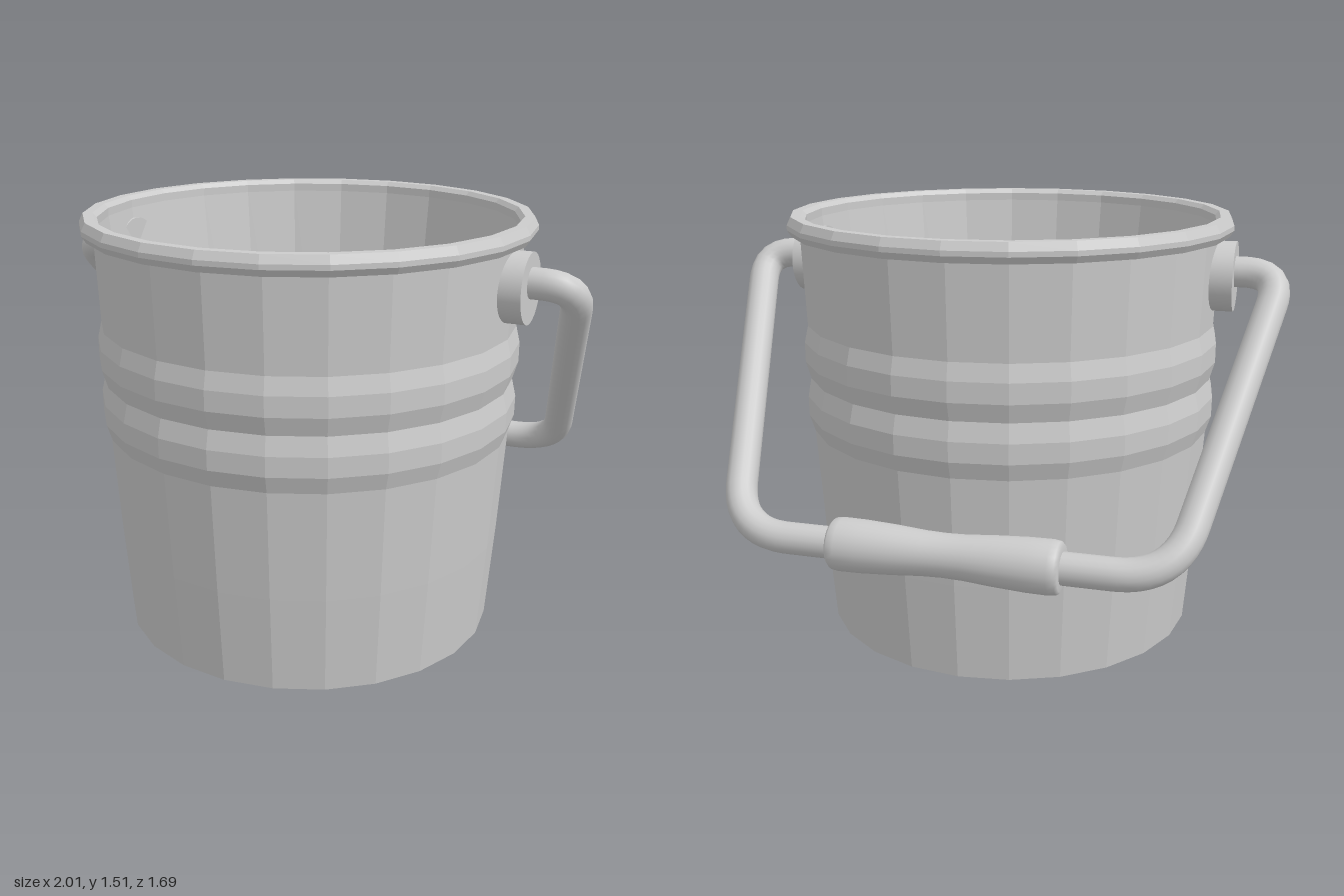
import * as THREE from 'three';

const SIDES = 24;
const CENTRE_Z = 0.045;
const GRIP_Y = 0.5, GRIP_Z = -0.755;
const HINGE_Y = 1.33, HINGE_Z = 0.04;

const smooth = new THREE.MeshStandardMaterial({ color: 0xcccccc });
const faceted = new THREE.MeshStandardMaterial({ color: 0xcccccc, flatShading: true });

const profile = (pairs) => pairs.map(([r, y]) => new THREE.Vector2(r, y));

function addMesh(parent, name, geometry, material) {
  const mesh = new THREE.Mesh(geometry, material);
  mesh.name = name;
  parent.add(mesh);
  return mesh;
}

// Path through the corners, each rounded by its trim length
function roundedPath(corners) {
  const path = new THREE.CurvePath();
  let last = corners[0].p;
  for (let i = 1; i < corners.length - 1; i++) {
    const { p, trim } = corners[i];
    const towards = (q) => p.clone().add(q.clone().sub(p).setLength(trim));
    const a = towards(corners[i - 1].p), b = towards(corners[i + 1].p);
    path.add(new THREE.LineCurve3(last, a));
    path.add(new THREE.QuadraticBezierCurve3(a, p, b));
    last = b;
  }
  path.add(new THREE.LineCurve3(last, corners[corners.length - 1].p));
  return path;
}

export function createModel() {
  const group = new THREE.Group();
  group.name = 'bucket';

  // Hollow body: outside with two raised bands, then the tapered inside and floor
  const body = addMesh(group, 'body', new THREE.LatheGeometry(profile([
    [0, 0], [0.68, 0], [0.708, 0.35], [0.733, 0.74],
    [0.752, 0.8], [0.753, 0.87], [0.738, 0.935],
    [0.757, 1.0], [0.757, 1.07], [0.743, 1.13],
    [0.757, 1.47], [0.74, 1.49], [0.585, 0.06], [0, 0.06],
  ]), SIDES), faceted);
  body.position.z = CENTRE_Z;

  // Rolled rim
  const rim = addMesh(group, 'rim', new THREE.LatheGeometry(profile([
    [0.738, 1.47], [0.75, 1.447], [0.785, 1.447], [0.8, 1.47],
    [0.8, 1.487], [0.786, 1.515], [0.752, 1.515], [0.738, 1.5], [0.738, 1.47],
  ]), SIDES), faceted);
  rim.position.z = CENTRE_Z;

  // Round handle mounts
  for (const side of [1, -1]) {
    const mount = addMesh(group, side > 0 ? 'leftMount' : 'rightMount',
      new THREE.CylinderGeometry(0.122, 0.122, 0.09, 32), smooth);
    mount.rotation.z = Math.PI / 2;
    mount.position.set(side * 0.767, 1.312, CENTRE_Z);
  }

  // Bail handle, lying in the slanted plane from the hinges to the grip
  const at = (x, t) => new THREE.Vector3(x,
    THREE.MathUtils.lerp(HINGE_Y, GRIP_Y, t), THREE.MathUtils.lerp(HINGE_Z, GRIP_Z, t));
  const half = [[0.77, 0, 0], [0.972, 0, 0.13], [0.742, 1, 0.19]];
  const corners = [
    ...half.map(([x, t, trim]) => ({ p: at(-x, t), trim })),
    ...half.slice().reverse().map(([x, t, trim]) => ({ p: at(x, t), trim })),
  ];
  addMesh(group, 'handle', new THREE.TubeGeometry(roundedPath(corners), 140, 0.054, 16), smooth);

  // Waisted grip with rounded ends
  const grip = addMesh(group, 'grip', new THREE.LatheGeometry(profile([
    [0.04, -0.39], [0.076, -0.39], [0.086, -0.38], [0.09, -0.355], [0.089, -0.28],
    [0.083, -0.17], [0.075, -0.07], [0.073, 0], [0.075, 0.07], [0.083, 0.17],
    [0.089, 0.28], [0.09, 0.355], [0.086, 0.38], [0.076, 0.39], [0.04, 0.39],
  ]), 24), smooth);
  grip.rotation.z = Math.PI / 2;
  grip.position.set(0, GRIP_Y, GRIP_Z);

  return group;
}
